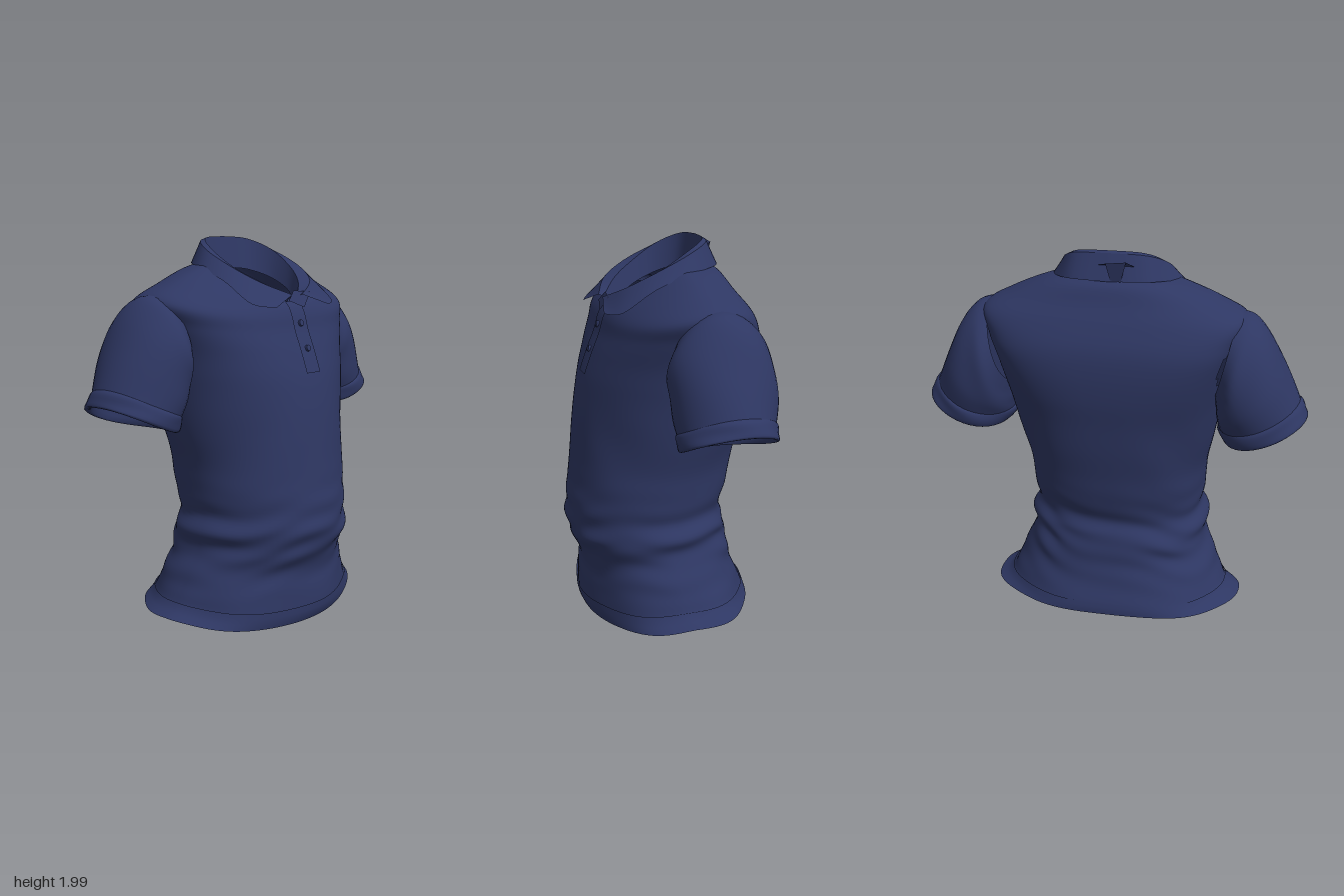
import * as THREE from 'three';

const navy = new THREE.MeshStandardMaterial({ color: 0x2e3763, side: THREE.DoubleSide });
navy.name = 'navy cloth';

// Grid surface from fn(u, v) -> [x, y, z]; closed joins the u ends smoothly,
// skip(point) leaves out the cells around that point
function loft(name, fn, nu, nv, closed = false, skip = () => false) {
  const pos = [], idx = [], cols = closed ? nu : nu + 1;
  for (let j = 0; j <= nv; j++)
    for (let i = 0; i < cols; i++) pos.push(...fn(i / nu, j / nv));
  for (let j = 0; j < nv; j++)
    for (let i = 0; i < nu; i++) {
      if (skip(fn((i + 0.5) / nu, (j + 0.5) / nv))) continue;
      const a = j * cols + i, b = j * cols + ((i + 1) % cols);
      idx.push(a, b, a + cols, b, b + cols, a + cols);
    }
  const geo = new THREE.BufferGeometry();
  geo.setAttribute('position', new THREE.Float32BufferAttribute(pos, 3));
  geo.setIndex(idx);
  geo.computeVertexNormals();
  const mesh = new THREE.Mesh(geo, navy);
  mesh.name = name;
  return mesh;
}

// Smooth interpolation through a list of equal-length rows
function spline(rows, t) {
  const n = rows.length - 1, f = Math.min(Math.max(t, 0), 1) * n;
  const i = Math.min(Math.floor(f), n - 1), k = f - i;
  const p0 = rows[Math.max(i - 1, 0)], p1 = rows[i], p2 = rows[i + 1], p3 = rows[Math.min(i + 2, n)];
  return p1.map((b, c) => {
    const m1 = (p2[c] - p0[c]) / 2, m2 = (p3[c] - b) / 2, d = p2[c] - b;
    return b + k * (m1 + k * (3 * d - 2 * m1 - m2 + k * (m1 + m2 - 2 * d)));
  });
}

// Torso rings: half width, centre z, front z, back z, side y, front y, back y
const torsoRings = [
  [0.67, -0.02, 0.39, -0.455, 0.1, 0.01, 0.1],
  [0.6, -0.01, 0.41, -0.45, 0.14, 0.07, 0.14],
  [0.565, 0.0, 0.405, -0.42, 0.22, 0.19, 0.22],
  [0.515, 0.02, 0.4, -0.385, 0.33, 0.3, 0.33],
  [0.475, 0.03, 0.45, -0.375, 0.42, 0.4, 0.44],
  [0.485, 0.04, 0.468, -0.35, 0.5, 0.48, 0.52],
  [0.455, 0.04, 0.475, -0.335, 0.6, 0.58, 0.6],
  [0.47, 0.03, 0.46, -0.37, 0.73, 0.72, 0.73],
  [0.48, 0.01, 0.445, -0.39, 0.86, 0.86, 0.86],
  [0.505, -0.02, 0.43, -0.415, 1.0, 1.0, 1.0],
  [0.535, -0.05, 0.41, -0.435, 1.15, 1.15, 1.15],
  [0.56, -0.08, 0.38, -0.455, 1.29, 1.29, 1.29],
  [0.585, -0.11, 0.335, -0.46, 1.43, 1.42, 1.43],
  [0.63, -0.12, 0.295, -0.445, 1.57, 1.52, 1.55],
  [0.665, -0.11, 0.275, -0.4, 1.685, 1.59, 1.66],
  [0.53, -0.09, 0.255, -0.35, 1.765, 1.635, 1.75],
  [0.37, -0.08, 0.235, -0.31, 1.83, 1.66, 1.83],
  [0.24, -0.06, 0.22, -0.26, 1.865, 1.675, 1.865],
];

// Cloth folds: bunched at the waist, diagonal pulls on the chest
function folds(a, y) {
  const waist = Math.exp(-(((y - 0.46) / 0.19) ** 2));
  const chest = Math.exp(-(((y - 0.95) / 0.25) ** 2));
  const s = Math.sin(a);
  return 0.015 * waist * Math.sin(36 * y + 5 * s * s + 3 * Math.sin(2 * a + 1))
    + 0.012 * waist * Math.sin(50 * y - 7 * s + Math.sin(5 * a))
    + 0.01 * chest * Math.sin(11 * y + 9 * Math.abs(s)) * Math.abs(s)
    + 0.012 * Math.exp(-(((y - 0.1) / 0.1) ** 2)) * Math.sin(7 * a + 0.6);
}

// Rings are ellipses that grow boxier towards the armholes
function torsoPoint(a, v, lift = 0) {
  const [hw, cz, zf, zb, ys, yf, yb] = spline(torsoRings, v);
  const s = Math.sin(a), c = Math.cos(a);
  const box = Math.exp(-(((ys - 1.52) / 0.26) ** 2));
  const e = c > 0 ? 1 - 0.22 * box : 0.85 - 0.25 * box;
  const y = ys + ((c > 0 ? yf : yb) - ys) * Math.abs(c) ** 1.3;
  const k = 1 + folds(a, y);
  const x = Math.sign(s) * Math.abs(s) ** e * hw * k;
  const z = Math.sign(c) * Math.abs(c) ** e * (c > 0 ? zf - cz : cz - zb) * k;
  return [x + lift * s, y, cz + z + lift * c];
}

// Opening in the body where a sleeve joins
const inArmhole = ([x, y, z]) =>
  Math.abs(x) > 0.5 && ((y - 1.48) / 0.18) ** 2 + ((z + 0.13) / 0.19) ** 2 < 1;

// Sleeve rings: outer x, outer y, inner x, inner y, front z, back z
const sleeveRings = [
  [0.63, 1.71, 0.525, 1.28, 0.09, -0.35],
  [0.705, 1.685, 0.53, 1.225, 0.125, -0.385],
  [0.79, 1.59, 0.53, 1.18, 0.13, -0.395],
  [0.875, 1.43, 0.54, 1.14, 0.125, -0.39],
  [0.945, 1.27, 0.55, 1.1, 0.11, -0.36],
];
const cuffRings = [
  [0.935, 1.28, 0.55, 1.12, 0.105, -0.355],
  [0.957, 1.265, 0.54, 1.11, 0.118, -0.368],
  [0.973, 1.23, 0.545, 1.08, 0.12, -0.37],
  [0.988, 1.2, 0.57, 1.045, 0.118, -0.365],
  [0.955, 1.2, 0.6, 1.05, 0.095, -0.345],
  [0.92, 1.28, 0.59, 1.12, 0.09, -0.34],
];

function sleevePoint(rings, side, u, v) {
  const [ox, oy, ix, iy, zf, zb] = spline(rings, v), b = side * u * Math.PI * 2;
  const c = Math.cos(b), s = Math.sin(b);
  const k = 1 + 0.018 * Math.sin(4 * b + 7 * v) * Math.sin(Math.PI * v);
  return [
    side * ((ox + ix) / 2 + (ox - ix) / 2 * c * k),
    (oy + iy) / 2 + (oy - iy) / 2 * c * k - 0.025 * s * s,
    (zf + zb) / 2 + (zf - zb) / 2 * s * k,
  ];
}

// Collar edges for the left half, from centre back to centre front
const collarEdges = {
  base: [[0, 1.83, -0.2], [0.13, 1.82, -0.18], [0.2, 1.78, -0.08], [0.19, 1.72, 0.05], [0.13, 1.66, 0.14], [0.03, 1.62, 0.2]],
  fold: [[0, 1.995, -0.235], [0.16, 1.985, -0.21], [0.235, 1.93, -0.1], [0.225, 1.84, 0.04], [0.15, 1.765, 0.16], [0.03, 1.69, 0.25]],
  roll: [[0, 1.985, -0.25], [0.18, 1.975, -0.225], [0.265, 1.92, -0.1], [0.27, 1.84, 0.07], [0.2, 1.765, 0.2], [0.04, 1.7, 0.275]],
  edge: [[0, 1.86, -0.305], [0.2, 1.86, -0.275], [0.325, 1.835, -0.1], [0.345, 1.77, 0.09], [0.325, 1.665, 0.25], [0.21, 1.645, 0.315]],
};

function collarPoint(names, u, v) {
  const t = u * 2 - 1;
  const rows = names.map((n) => spline(collarEdges[n], Math.abs(t)));
  const p = rows[0].map((q, c) => q + (rows[1][c] - q) * v);
  return [p[0] * (Math.sign(t) || 1), p[1], p[2]];
}

// Thin patch between four corners
const patch = (name, [a, b, c, d]) => loft(name, (u, v) => a.map((q, k) =>
  (q * (1 - u) + b[k] * u) * (1 - v) + (d[k] * (1 - u) + c[k] * u) * v), 2, 2);

export function createModel() {
  const shirt = new THREE.Group();
  shirt.name = 'poloShirt';
  const TAU = Math.PI * 2;

  // Body, hem band and closed underside
  shirt.add(loft('body', (u, v) => torsoPoint(u * TAU, v), 96, 110, true, inArmhole));
  shirt.add(loft('hemBand', (u, v) => torsoPoint(u * TAU, v * 0.075, 0.008), 96, 4, true));
  shirt.add(loft('underside', (u, v) => {
    const p = torsoPoint(u * TAU, 0.01);
    return [p[0] * v, 0.075 + (p[1] - 0.075) * v, -0.02 + (p[2] + 0.02) * v];
  }, 96, 3, true));

  // Sleeves with turned cuffs
  for (const side of [1, -1]) {
    const label = side > 0 ? 'left' : 'right';
    shirt.add(loft(label + 'Sleeve', (u, v) => sleevePoint(sleeveRings, side, u, v), 40, 24, true));
    shirt.add(loft(label + 'Cuff', (u, v) => sleevePoint(cuffRings, side, u, v), 40, 15, true));
  }

  // Collar: inner stand, rolled top and folded leaf
  shirt.add(loft('collarStand', (u, v) => collarPoint(['base', 'fold'], u, v), 60, 4));
  shirt.add(loft('collarRoll', (u, v) => collarPoint(['fold', 'roll'], u, v), 60, 1));
  shirt.add(loft('collarLeaf', (u, v) => collarPoint(['roll', 'edge'], u, v), 60, 4));

  // Button placket following the chest
  shirt.add(loft('placket', (u, v) => {
    const p = torsoPoint(0, 0.656 + v * 0.3, 0.009);
    return [-0.05 + u * 0.11, p[1], p[2] - 0.002 * Math.abs(u * 2 - 1)];
  }, 4, 20));
  for (const v of [0.712, 0.793]) {
    const button = new THREE.Mesh(new THREE.CylinderGeometry(0.016, 0.018, 0.014, 14), navy);
    const p = torsoPoint(0, v, 0.012);
    button.position.set(0.005, p[1], p[2]);
    button.rotation.x = Math.PI / 2 - 0.3;
    button.name = 'button';
    shirt.add(button);
  }

  // Loose neckband end at the front and turned-up flap at the back of the collar
  shirt.add(patch('neckbandEnd', [[-0.06, 1.67, 0.27], [0.04, 1.635, 0.29], [0.12, 1.71, 0.265], [0.0, 1.72, 0.25]]));
  shirt.add(patch('backFlapTop', [[-0.13, 1.93, -0.27], [0.05, 1.93, -0.27], [0, 1.95, -0.318], [-0.1, 1.96, -0.318]]));
  shirt.add(patch('backFlap', [[0, 1.95, -0.318], [-0.1, 1.96, -0.318], [-0.07, 1.86, -0.3], [-0.02, 1.86, -0.3]]));
  return shirt;
}
